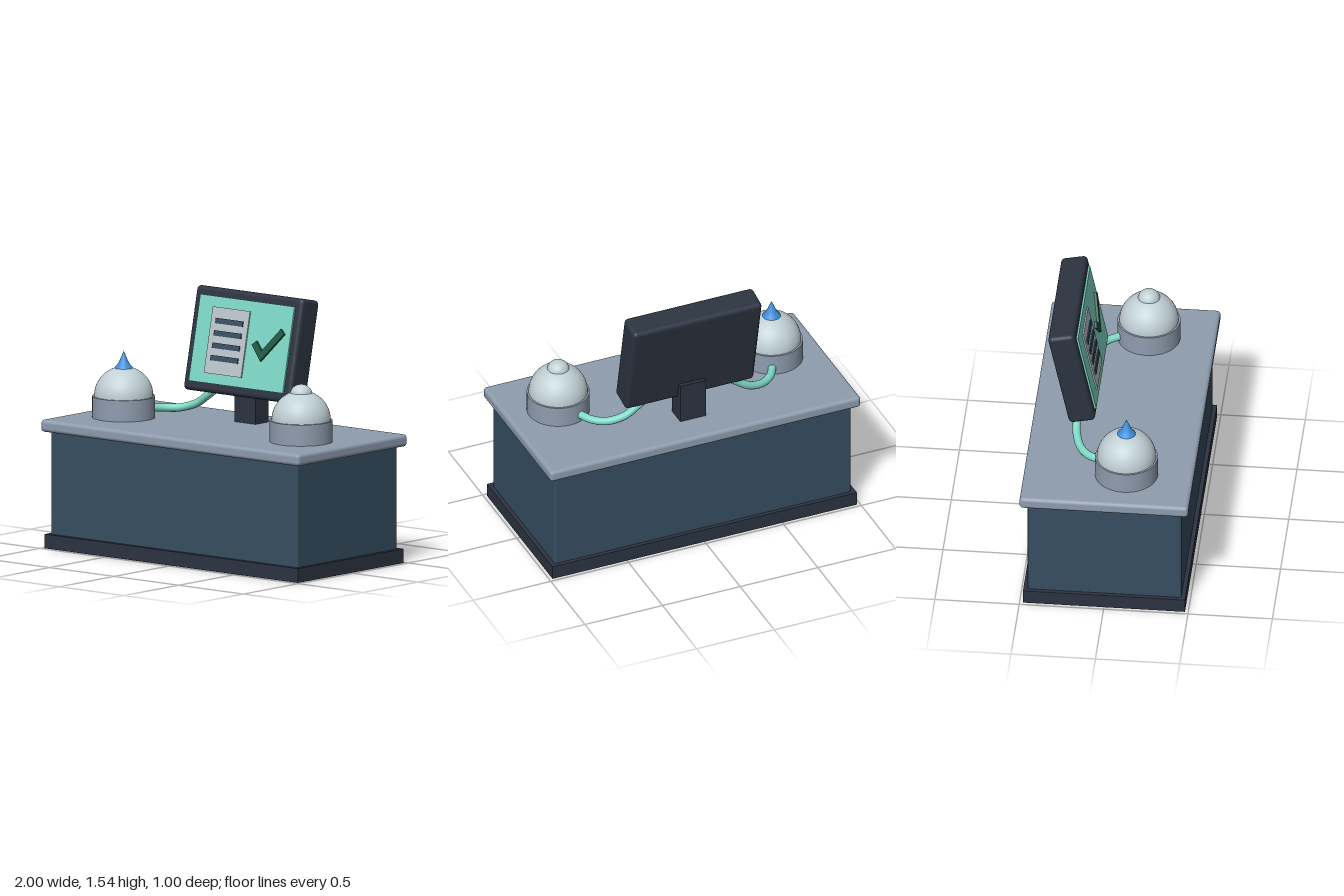
import * as THREE from 'three';
import { RoundedBoxGeometry } from 'three/addons/geometries/RoundedBoxGeometry.js';

function material(name, color) {
  const m = new THREE.MeshStandardMaterial({ color });
  m.name = name;
  return m;
}

export function createModel() {
  const model = new THREE.Group();
  model.name = 'consoleDesk';

  const navy = material('navy', 0x364e62);
  const charcoal = material('charcoal', 0x2c3441);
  const slate = material('slateGrey', 0x8f9daf);
  const pale = material('paleGrey', 0xc0d0d5);
  const mint = material('mint', 0x7dd8c6);
  const blue = material('blue', 0x3f8fdd);
  const paper = material('paperGrey', 0xb9c5ca);
  const green = material('darkGreen', 0x1f5c47);

  function add(parent, name, geometry, mat, x = 0, y = 0, z = 0) {
    const mesh = new THREE.Mesh(geometry, mat);
    mesh.name = name;
    mesh.position.set(x, y, z);
    parent.add(mesh);
    return mesh;
  }

  // Desk: plinth, body and rounded worktop
  add(model, 'plinth', new THREE.BoxGeometry(1.96, 0.085, 0.96), charcoal, 0, 0.0425, 0);
  add(model, 'deskBody', new RoundedBoxGeometry(1.91, 0.66, 0.91, 3, 0.012), navy, 0, 0.38, 0);
  add(model, 'worktop', new RoundedBoxGeometry(2, 0.072, 1, 4, 0.022), slate, 0, 0.733, 0);

  // Two domes, each with a cylindrical base and a cable to the monitor
  for (const side of [-1, 1]) {
    const dome = new THREE.Group();
    dome.name = side < 0 ? 'rightDome' : 'leftDome';
    dome.position.set(side * 0.687, 0.768, 0.105);
    model.add(dome);
    add(dome, 'domeBase', new THREE.CylinderGeometry(0.186, 0.186, 0.128, 48), slate, 0, 0.064, 0);
    add(dome, 'domeShell',
      new THREE.SphereGeometry(0.175, 48, 20, 0, Math.PI * 2, 0, Math.PI / 2), pale, 0, 0.128, 0);

    if (side < 0) {
      // Flared pointed tip
      const profile = [[0.058, 0.285], [0.052, 0.299], [0.04, 0.312], [0.028, 0.331],
        [0.015, 0.362], [0, 0.397]].map(([r, y]) => new THREE.Vector2(r, y));
      add(dome, 'pointedTip', new THREE.LatheGeometry(profile, 32), blue);
    } else {
      add(dome, 'roundKnob', new THREE.SphereGeometry(0.066, 32, 16), pale, 0, 0.282, 0)
        .scale.y = 0.9;
    }

    const path = new THREE.CatmullRomCurve3([
      [0.63, 0.815, -0.04], [0.575, 0.808, -0.13], [0.5, 0.81, -0.185],
      [0.4, 0.842, -0.218], [0.32, 0.895, -0.222], [0.25, 0.945, -0.222],
    ].map(([x, y, z]) => new THREE.Vector3(side * x, y, z)));
    add(model, side < 0 ? 'rightCable' : 'leftCable',
      new THREE.TubeGeometry(path, 40, 0.024, 14), mint);
  }

  // Monitor stand
  add(model, 'monitorStand', new THREE.BoxGeometry(0.164, 0.252, 0.12), charcoal, 0, 0.894, -0.25);

  // Monitor, tilted back
  const monitor = new THREE.Group();
  monitor.name = 'monitor';
  monitor.position.set(0, 1.228, -0.248);
  monitor.rotation.x = -0.21;
  model.add(monitor);
  add(monitor, 'monitorCase', new RoundedBoxGeometry(0.83, 0.622, 0.16, 4, 0.026), charcoal);
  add(monitor, 'screen', new THREE.BoxGeometry(0.728, 0.516, 0.016), mint, 0, 0, 0.083);

  // Document with four text lines
  add(monitor, 'document', new THREE.BoxGeometry(0.288, 0.395, 0.009), paper, -0.106, -0.002, 0.0945);
  for (let i = 0; i < 4; i++) {
    add(monitor, 'documentLine', new THREE.BoxGeometry(0.21, 0.032, 0.008), navy,
      -0.105, 0.115 - i * 0.0735, 0.102);
  }

  // Check mark
  const check = new THREE.Shape([[0.09, 0.002], [0.17, -0.088], [0.325, 0.088],
    [0.295, 0.116], [0.17, -0.027], [0.122, 0.028]].map(([x, y]) => new THREE.Vector2(x, y)));
  add(monitor, 'checkMark',
    new THREE.ExtrudeGeometry(check, { depth: 0.016, bevelEnabled: false }), green, 0, 0, 0.09);

  return model;
}
